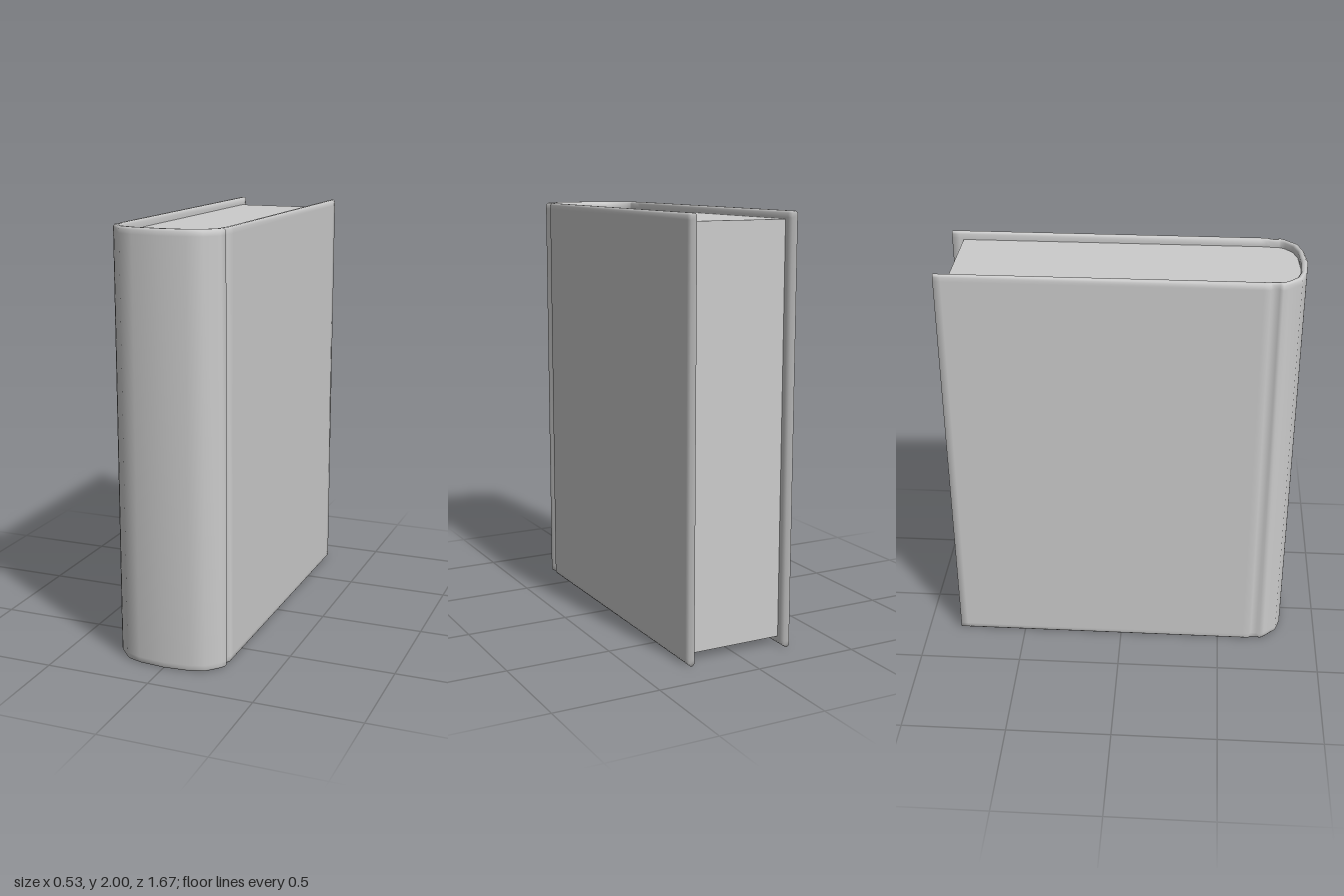
import * as THREE from 'three';

const HEIGHT = 2;
const PAGE_INSET = 0.037;

// Half of the cover outline, from the fore edge to the middle of the spine:
// [outer x, outer z, inner x, inner z]
const half = [
  [0.265, -0.835, 0.238, -0.835],
  [0.265, -0.80, 0.238, -0.80],
  [0.265, 0.63, 0.238, 0.63],
  [0.265, 0.66, 0.238, 0.655],
  [0.253, 0.672, 0.234, 0.675],
  [0.253, 0.70, 0.232, 0.715],
  [0.265, 0.715, 0.228, 0.725],
  [0.25, 0.738, 0.216, 0.743],
  [0.195, 0.80, 0.178, 0.776],
  [0.125, 0.823, 0.115, 0.796],
  [0, 0.835, 0, 0.803],
];

const mirrored = half.map(([ox, oz, ix, iz]) => [-ox, oz, -ix, iz]);
const stations = [...mirrored, ...half.slice(0, -1).reverse()];

// Section through the board: [0 = inner face .. 1 = outer face, y]
const lower = [[1, 0.03], [1, 0.01], [0.72, 0], [0.28, 0], [0, 0.01], [0, 0.03]];
const ring = [...lower, ...lower.map(([s, y]) => [s, HEIGHT - y]).reverse()];

// Softly rounded board swept round the book
function coverGeometry() {
  const positions = [], index = [];
  const n = ring.length, last = stations.length - 1;
  const quad = (a, b, c, d) => index.push(a, b, c, a, c, d);

  for (const [ox, oz, ix, iz] of stations) {
    for (const [s, y] of ring) positions.push(ix + (ox - ix) * s, y, iz + (oz - iz) * s);
  }
  for (let j = 0; j < last; j++) {
    for (let k = 0; k < n; k++) {
      const k2 = (k + 1) % n;
      quad(j * n + k, j * n + k2, (j + 1) * n + k2, (j + 1) * n + k);
    }
  }
  // Fore-edge ends of both boards
  const caps = [[2, 3, 4, 1], [1, 4, 5, 0], [0, 5, 6, 11], [11, 6, 7, 10], [10, 7, 8, 9]];
  for (const cap of caps) {
    quad(...[...cap].reverse());
    quad(...cap.map((k) => last * n + k));
  }

  const geometry = new THREE.BufferGeometry();
  geometry.setAttribute('position', new THREE.Float32BufferAttribute(positions, 3));
  geometry.setIndex(index);
  geometry.computeVertexNormals();
  return geometry;
}

// Page block fills the inner outline, set back from the cover's edges
function pagesGeometry() {
  const outline = stations.map(([, , x, z]) => new THREE.Vector2(x, -Math.max(z, -0.78)));
  outline.splice(1, 1);
  outline.splice(-2, 1);
  const geometry = new THREE.ExtrudeGeometry(new THREE.Shape(outline), {
    depth: HEIGHT - 2 * PAGE_INSET,
    bevelEnabled: false,
  });
  geometry.rotateX(-Math.PI / 2);
  geometry.translate(0, PAGE_INSET, 0);
  return geometry;
}

export function createModel() {
  const book = new THREE.Group();
  book.name = 'book';
  const material = new THREE.MeshStandardMaterial({ color: 0xcccccc });

  const cover = new THREE.Mesh(coverGeometry(), material);
  cover.name = 'cover';
  const pages = new THREE.Mesh(pagesGeometry(), material);
  pages.name = 'pages';

  book.add(cover, pages);
  return book;
}
